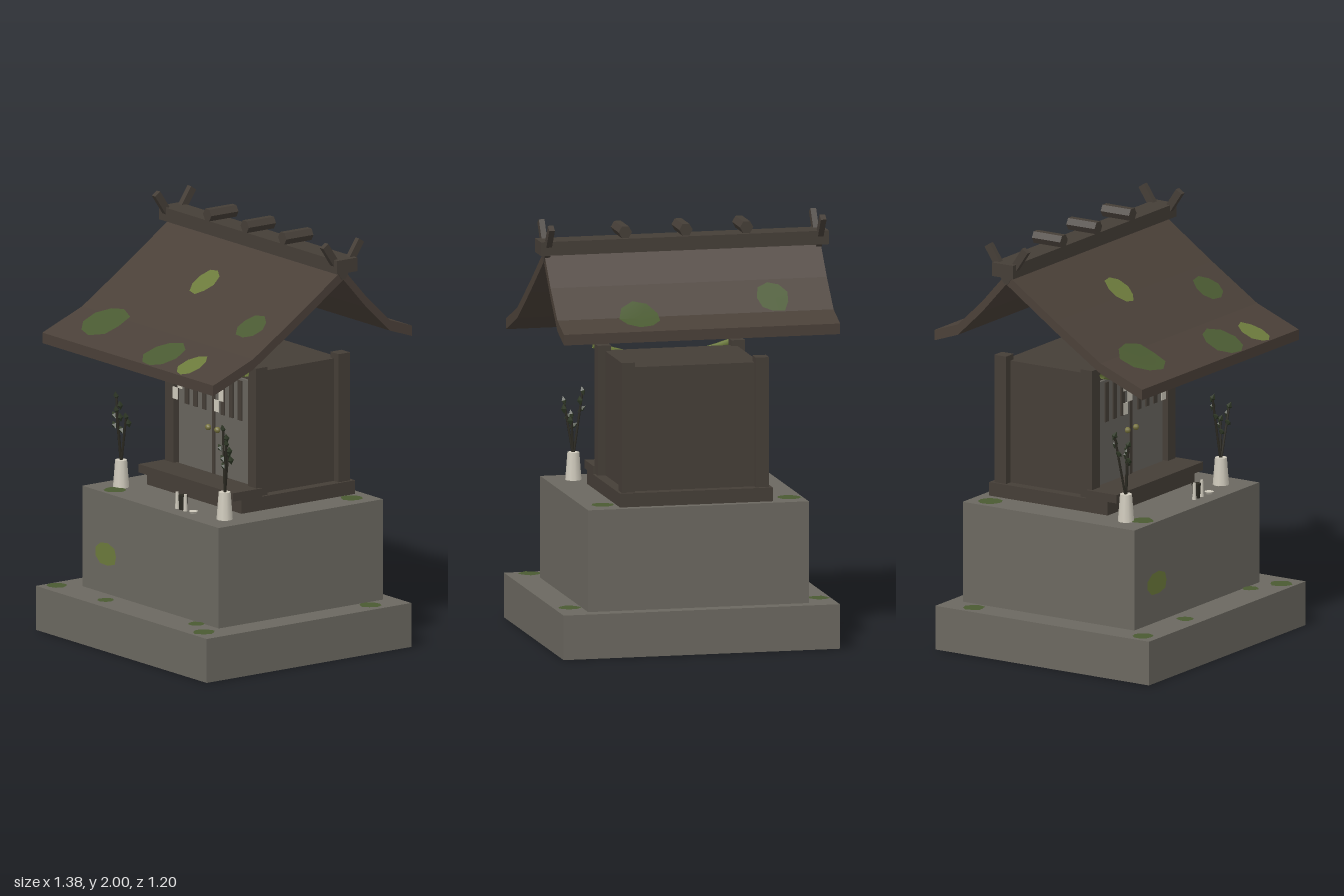
import * as THREE from 'three';

const mat = (name, color, extra = {}) => {
  const m = new THREE.MeshStandardMaterial({ color, ...extra });
  m.name = name;
  return m;
};

export function createModel() {
  const root = new THREE.Group();
  root.name = 'hillsideShrine';
  const two = { side: THREE.DoubleSide };
  const stone = mat('stone', 0x6b6860, two);
  const wood = mat('darkWood', 0x453e37);
  const roofMat = mat('roofBark', 0x4a4038);
  const doorMat = mat('weatheredDoor', 0x68655e);
  const moss = mat('lightMoss', 0x6c7a3c, two);
  const darkMoss = mat('darkMoss', 0x4a5a32, two);
  const white = mat('whiteCeramic', 0xcfcabc, two);
  const leafMat = mat('leafGreen', 0x2f3826, two);
  const stemMat = mat('stem', 0x2c2a22);
  const brass = mat('brass', 0x77733f);

  const add = (name, geo, material, x = 0, y = 0, z = 0, parent = root) => {
    const m = new THREE.Mesh(geo, material);
    m.name = name;
    m.position.set(x, y, z);
    parent.add(m);
    return m;
  };
  // box from its min and max along each axis
  const block = (name, material, x0, x1, y0, y1, z0, z1) =>
    add(name, new THREE.BoxGeometry(x1 - x0, y1 - y0, z1 - z0), material,
      (x0 + x1) / 2, (y0 + y1) / 2, (z0 + z1) / 2);

  // stone plinth: the lower tier is hollow underneath
  const tier = block('lowerPlinth', stone, -0.66, 0.66, 0, 0.21, -0.595, 0.595).geometry;
  tier.setIndex(Array.from(tier.index.array).filter((v, i) => i < 18 || i >= 24));
  block('upperPlinth', stone, -0.527, 0.527, 0.21, 0.69, -0.53, 0.425);

  // shrine body
  block('floorFrame', wood, -0.365, 0.365, 0.69, 0.755, -0.49, 0.17);
  block('frontStep', wood, -0.365, 0.365, 0.755, 0.795, 0.05, 0.22);
  block('walls', wood, -0.315, 0.315, 0.755, 1.34, -0.44, 0.04);
  for (const s of [-1, 1]) {
    for (const z of [0.042, -0.437]) {
      block('cornerPost', wood, s * 0.32 - 0.032, s * 0.32 + 0.032, 0.755, 1.367, z - 0.033, z + 0.033);
    }
    // doors with lattice bars and round pulls
    block('door', doorMat, s * 0.141 - 0.132, s * 0.141 + 0.132, 0.795, 1.29, 0.035, 0.055);
    for (const x of [0.071, 0.138, 0.205]) {
      block('doorSlat', wood, s * x - 0.014, s * x + 0.014, 1.09, 1.28, 0.05, 0.062);
    }
    add('doorPull', new THREE.SphereGeometry(0.015, 8, 6), brass, s * 0.035, 1.012, 0.063);
  }
  block('doorStile', wood, -0.009, 0.009, 0.795, 1.29, 0.04, 0.06);

  // sagging roof: top profile as [z, y], front eave to back eave
  const profile = [[0.557, 1.415], [0.325, 1.508], [0.075, 1.672], [-0.2, 1.862],
    [-0.335, 1.71], [-0.47, 1.58], [-0.6, 1.535]];
  const thick = 0.05;
  const outline = [...profile.map(([z, y]) => new THREE.Vector2(-z, y)),
    ...profile.slice().reverse().map(([z, y]) => new THREE.Vector2(-z, y - thick))];
  const roofGeo = new THREE.ExtrudeGeometry(new THREE.Shape(outline), { depth: 1.32, bevelEnabled: false });
  roofGeo.translate(0, 0, -0.66).rotateY(Math.PI / 2);
  add('roof', roofGeo, roofMat);
  const roofY = (z) => {
    for (let i = 0; i < profile.length - 1; i++) {
      const [a, ya] = profile[i], [b, yb] = profile[i + 1];
      if (z >= b || i === profile.length - 2) return ya + (yb - ya) * (a - z) / (a - b);
    }
  };

  // ridge beam, cross logs and forked finials
  block('ridgeBeam', wood, -0.688, 0.688, 1.85, 1.915, -0.26, -0.143);
  for (const x of [-0.29, 0, 0.29]) {
    const log = new THREE.CylinderGeometry(0.032, 0.032, 0.158, 6).toNonIndexed();
    log.computeVertexNormals();
    log.rotateY(Math.PI / 6 + Math.PI / 3).rotateX(Math.PI / 2);
    add('ridgeLog', log, wood, x, 1.95, -0.202);
  }
  for (const sx of [-1, 1]) {
    for (const sz of [-1, 1]) {
      const arm = add('forkedFinial', new THREE.BoxGeometry(0.027, 0.2, 0.036), wood,
        sx * 0.649, 1.904, -0.2 + sz * 0.049);
      arm.rotation.x = sz * 0.588;
    }
  }

  // hanging rope with folded paper streamers
  const ropePath = new THREE.CatmullRomCurve3([-1, -0.5, 0, 0.5, 1].map(
    (t) => new THREE.Vector3(t * 0.345, 1.288 + 0.062 * t * t, 0.127)));
  add('rope', new THREE.TubeGeometry(ropePath, 20, 0.016, 6), moss);
  for (const x of [-0.16, 0.158]) {
    [-1, 1, -1].forEach((s, i) => add('paperStreamer', new THREE.BoxGeometry(0.036, 0.057, 0.003), white,
      x + s * 0.018, 1.274 - i * 0.057, 0.147));
  }

  // vases with leafy branches: each branch ends at [dx, y, dz]
  const branches = {
    '-1': [[-0.065, 1.11, -0.02], [-0.01, 1.06, 0.02], [0.025, 1.03, -0.01]],
    '1': [[-0.04, 1.11, -0.02], [0.04, 1.06, 0.02], [0.012, 1.0, -0.01]],
  };
  for (const s of [-1, 1]) {
    const g = new THREE.Group();
    g.name = 'flowerVase';
    g.position.set(s * 0.4, 0.69, 0.295);
    root.add(g);
    add('vase', new THREE.CylinderGeometry(0.028, 0.038, 0.13, 10), white, 0, 0.065, 0, g);
    for (const [dx, y, dz] of branches[s]) {
      const a = new THREE.Vector3(0, 0.11, 0), b = new THREE.Vector3(dx, y - 0.69, dz);
      add('branch', new THREE.TubeGeometry(new THREE.LineCurve3(a, b), 1, 0.006, 5), stemMat, 0, 0, 0, g);
      [0.72, 0.86, 1].forEach((t, i) => {
        const p = a.clone().lerp(b, t);
        const side = i === 2 ? 0 : i ? 1 : -1;
        const leaf = add('leaf', new THREE.OctahedronGeometry(0.02), leafMat,
          p.x + side * 0.01, p.y, p.z - side * 0.012, g);
        leaf.scale.set(0.7, 1.2, 0.7);
        leaf.rotation.set(0.3 * side, i, -0.5 * side + 0.4);
      });
    }
  }

  // small offerings
  for (const x of [0.1, 0.163]) {
    add('offeringBottle', new THREE.CylinderGeometry(0.007, 0.01, 0.08, 8), white, x, 0.73, 0.345);
  }
  add('offeringCup', new THREE.CylinderGeometry(0.022, 0.018, 0.07, 8), stemMat, 0.132, 0.725, 0.335);
  add('offeringDish', new THREE.CylinderGeometry(0.022, 0.014, 0.012, 10), white, 0.225, 0.696, 0.345);

  // moss: irregular flat patches laid on a surface by a mapping rule
  let seed = 7;
  const rand = () => (seed = (seed * 16807) % 2147483647) / 2147483647;
  const patch = (material, u, v, ru, rv, map) => {
    const geo = new THREE.CircleGeometry(1, 9);
    const p = geo.attributes.position;
    const wobble = Array.from({ length: 9 }, () => 0.88 + 0.2 * rand());
    for (let i = 0; i < p.count; i++) {
      const k = i ? wobble[(i - 1) % 9] : 1;
      p.setXYZ(i, ...map(u + p.getX(i) * ru * k, v - p.getY(i) * rv * k));
    }
    geo.computeVertexNormals();
    add('mossPatch', geo, material);
  };
  const onRoof = (x, z) => [x, roofY(z) + 0.006, z];
  const onTop = (y) => (x, z) => [x, y + 0.004, z];
  patch(darkMoss, -0.41, 0.385, 0.125, 0.108, onRoof);
  patch(moss, -0.08, 0.05, 0.072, 0.068, onRoof);
  patch(darkMoss, 0.46, 0.185, 0.085, 0.062, onRoof);
  patch(darkMoss, 0.155, 0.47, 0.105, 0.1, onRoof);
  patch(moss, 0.395, 0.485, 0.066, 0.08, onRoof);
  patch(darkMoss, -0.385, -0.415, 0.08, 0.063, onRoof);
  patch(darkMoss, 0.27, -0.49, 0.1, 0.085, onRoof);
  patch(moss, -0.34, 0.4, 0.085, 0.056, (x, y) => [x, y, 0.429]);
  for (const [x, z, r] of [[-0.6, 0.52, 0.05], [0.55, 0.53, 0.055], [-0.23, 0.51, 0.04],
    [0.585, -0.41, 0.055], [0.4, 0.46, 0.04], [-0.6, -0.42, 0.05]]) {
    patch(darkMoss, x, z, r, r, onTop(0.21));
  }
  for (const [x, z] of [[0.43, -0.42], [-0.36, 0.36], [-0.46, -0.42]]) {
    patch(darkMoss, x, z, 0.055, 0.055, onTop(0.69));
  }
  return root;
}
